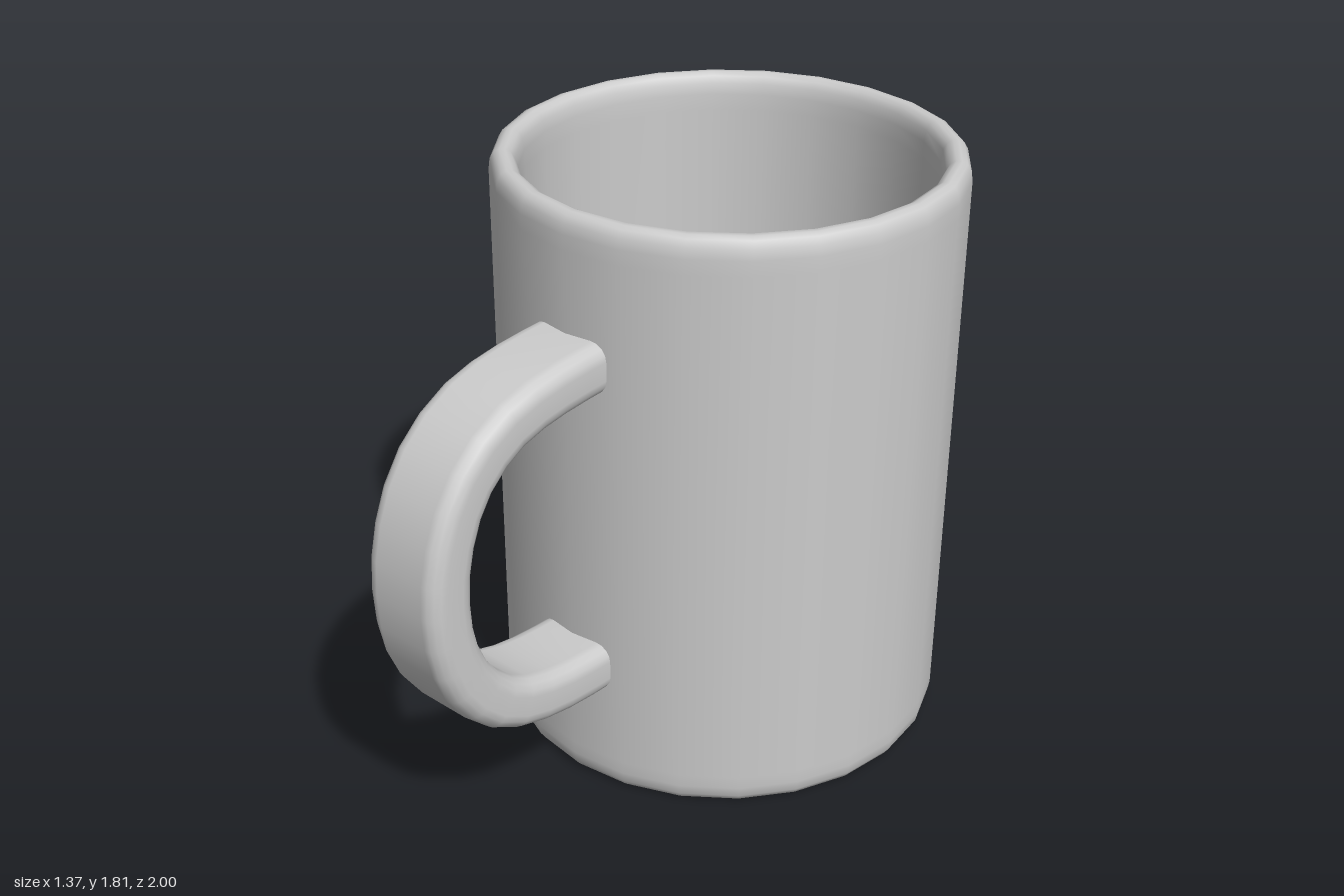
import * as THREE from 'three';

const CZ = -0.32;      // cup axis position along z
const SIDES = 24;
const grey = new THREE.MeshStandardMaterial({ color: 0xcccccc });
const coffeeBrown = new THREE.MeshStandardMaterial({ color: 0x33231a, side: THREE.DoubleSide });

function addMesh(group, name, geometry, material) {
  const mesh = new THREE.Mesh(geometry, material);
  mesh.name = name;
  group.add(mesh);
  return mesh;
}

// Skin a list of equal-length point rows into one smooth surface
function skin(rows, closed) {
  const n = rows[0].length, index = [];
  for (let j = 0; j < rows.length - 1; j++) {
    for (let i = 0; i < (closed ? n : n - 1); i++) {
      const k = (i + 1) % n, a = j * n + i, b = j * n + k;
      index.push(a, b, b + n, a, b + n, a + n);
    }
  }
  const geometry = new THREE.BufferGeometry().setFromPoints(rows.flat());
  geometry.setIndex(index);
  geometry.computeVertexNormals();
  return geometry;
}

// Point around the cup, angle in degrees from the back towards -x
function onCup(deg, r, y) {
  const a = THREE.MathUtils.degToRad(deg);
  return new THREE.Vector3(-r * Math.sin(a), y, CZ - r * Math.cos(a));
}

// Cup wall, rounded rim, inside and floor as one lathe profile
function cupGeometry() {
  const profile = [
    [0, 0], [0.63, 0], [0.645, 0.001], [0.662, 0.008], [0.675, 0.028], [0.68, 0.06], [0.68, 0.1],
    [0.68, 1.71], [0.68, 1.755], [0.676, 1.785], [0.664, 1.805], [0.648, 1.812],
    [0.632, 1.812], [0.616, 1.803], [0.605, 1.783], [0.6, 1.75], [0.6, 1.7],
    [0.6, 0.16], [0.59, 0.12], [0.56, 0.1], [0, 0.1],
  ].map(([x, y]) => new THREE.Vector2(x, y));
  return new THREE.LatheGeometry(profile, SIDES).translate(0, 0, CZ);
}

// Flat band with rounded edges swept along a C-shaped path
function handleGeometry() {
  const path = new THREE.CatmullRomCurve3([
    [0.31, 1.395], [0.45, 1.387], [0.58, 1.37], [0.71, 1.325], [0.83, 1.22], [0.9, 1.07], [0.922, 0.91],
    [0.9, 0.74], [0.835, 0.605], [0.72, 0.495], [0.58, 0.443], [0.45, 0.425], [0.31, 0.42],
  ].map(([z, y]) => new THREE.Vector3(0, y, z)));
  const halfW = 0.135, halfT = 0.078, r = 0.05, section = [];
  const corners = [[1, 1], [-1, 1], [-1, -1], [1, -1]];
  corners.forEach(([sx, sy], c) => {
    for (let s = 0; s <= 4; s++) {
      const a = (c + s / 4) * Math.PI / 2;
      section.push([sx * (halfW - r) + r * Math.cos(a), sy * (halfT - r) + r * Math.sin(a)]);
    }
  });
  const side = new THREE.Vector3(1, 0, 0), rows = [], steps = 20;
  for (let j = 0; j <= steps; j++) {
    const p = path.getPointAt(j / steps);
    const normal = path.getTangentAt(j / steps).cross(side);
    rows.push(section.map(([u, v]) => p.clone().addScaledVector(side, u).addScaledVector(normal, v)));
  }
  return skin(rows, true);
}

// Curved smear under the rim: angle, top edge and bottom edge
function smearGeometry() {
  const columns = [
    [64, 1.7, 1.69], [66, 1.69, 1.65], [70, 1.665, 1.615], [74, 1.65, 1.603], [78, 1.655, 1.605],
    [82, 1.675, 1.625], [86, 1.695, 1.65], [90, 1.707, 1.675], [94, 1.702, 1.68],
    [98, 1.68, 1.66], [101, 1.662, 1.635], [104, 1.65, 1.64],
  ];
  return skin(columns.map(([deg, top, bottom]) => [
    onCup(deg, 0.674, top), onCup(deg, 0.69, (top + bottom) / 2), onCup(deg, 0.674, bottom),
  ]), false);
}

export function createModel() {
  const model = new THREE.Group();
  model.name = 'mug';
  addMesh(model, 'cup', cupGeometry(), grey);
  addMesh(model, 'handle', handleGeometry(), grey);

  // Coffee surface inside the cup
  const coffee = addMesh(model, 'coffee', new THREE.CircleGeometry(0.6, SIDES), coffeeBrown);
  coffee.rotation.x = -Math.PI / 2;
  coffee.position.set(0, 1.15, CZ);

  // Spilled smear with a thin run ending in a drop
  const spill = new THREE.Group();
  spill.name = 'spill';
  model.add(spill);
  addMesh(spill, 'smear', smearGeometry(), coffeeBrown);
  const run = addMesh(spill, 'run', new THREE.CylinderGeometry(0.011, 0.008, 0.76, 8), coffeeBrown);
  run.position.copy(onCup(76, 0.679, 1.24));
  const drop = addMesh(spill, 'drop', new THREE.SphereGeometry(0.02, 12, 8), coffeeBrown);
  drop.position.copy(onCup(76, 0.677, 0.865));
  drop.scale.set(0.6, 1.4, 1);
  return model;
}
